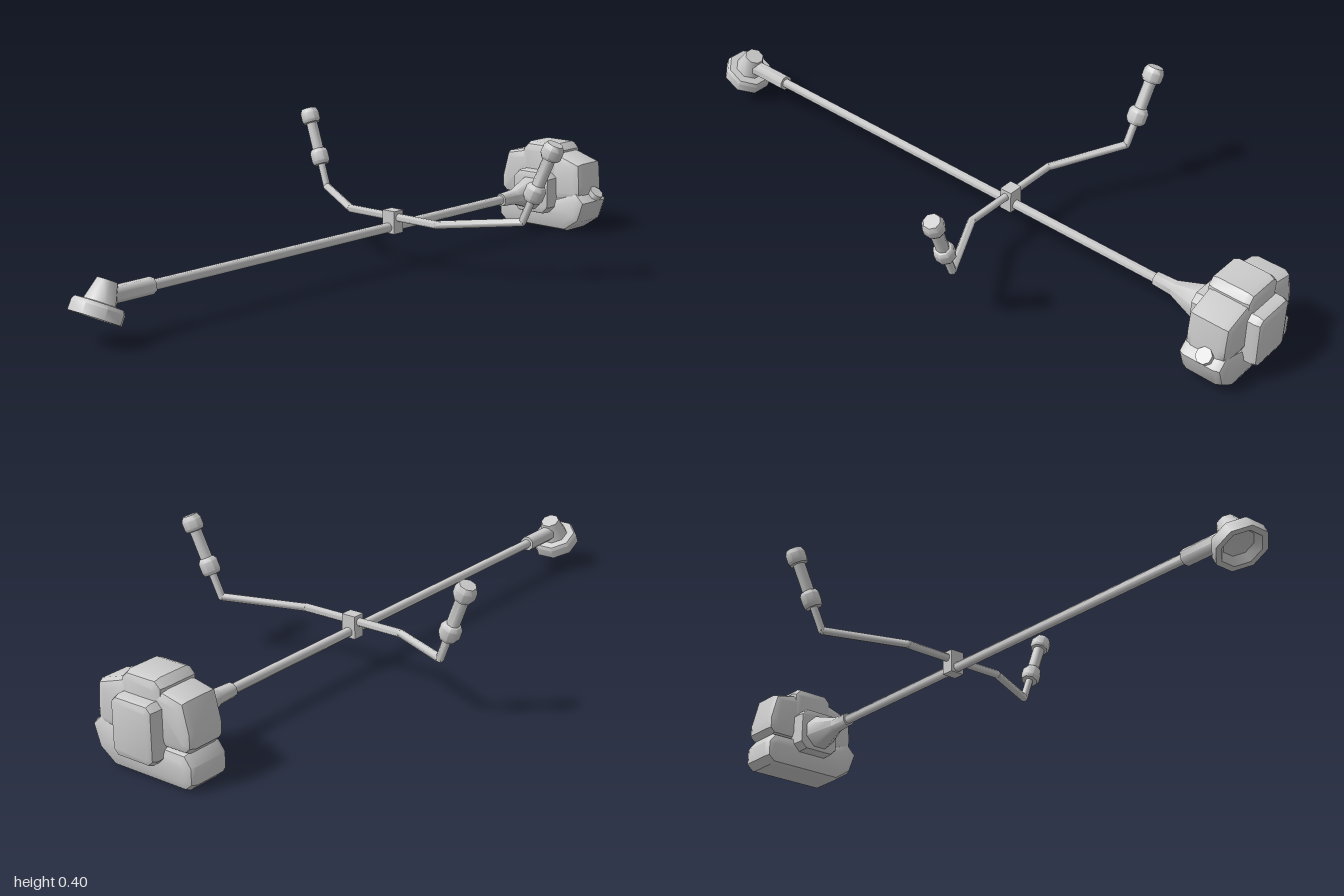
import * as THREE from 'three';
import { toCreasedNormals } from 'three/addons/utils/BufferGeometryUtils.js';

const material = new THREE.MeshStandardMaterial({ color: 0xcccccc });
const hollow = new THREE.MeshStandardMaterial({ color: 0xcccccc, side: THREE.DoubleSide });
const V = (x, y, z) => new THREE.Vector3(x, y, z);
const UP = V(0, 1, 0);

function add(parent, name, geometry, mat = material, crease = 0.6) {
  const mesh = new THREE.Mesh(toCreasedNormals(geometry, crease), mat);
  mesh.name = name;
  parent.add(mesh);
  return mesh;
}

// Cylinder or cone running from a (radius ra) to b (radius rb)
function rod(parent, name, a, b, ra, rb = ra, sides = 8) {
  const g = new THREE.CylinderGeometry(rb, ra, a.distanceTo(b), sides);
  g.rotateY(Math.PI / sides);
  const mesh = add(parent, name, g, material, 0.9);
  mesh.position.copy(a).lerp(b, 0.5);
  mesh.quaternion.setFromUnitVectors(UP, b.clone().sub(a).normalize());
  return mesh;
}

// Lathe whose profile [radius, distance] runs along the line from a towards b
function turned(parent, name, a, b, profile, sides = 8) {
  const g = new THREE.LatheGeometry(profile.map(([r, t]) => new THREE.Vector2(r, t)), sides);
  g.rotateY(Math.PI / sides);
  const mesh = add(parent, name, g, hollow, 0.8);
  mesh.position.copy(a);
  mesh.quaternion.setFromUnitVectors(UP, b.clone().sub(a).normalize());
  return mesh;
}

// Bevelled slab: front outline [x, y], spanning z0 (back) to z1 (front)
function slab(parent, name, outline, z0, z1, bevel) {
  const shape = new THREE.Shape(outline.map(([x, y]) => new THREE.Vector2(x, y)));
  const g = new THREE.ExtrudeGeometry(shape, {
    depth: z1 - z0 - 2 * bevel, bevelEnabled: true, bevelSegments: 2,
    bevelThickness: bevel, bevelSize: bevel, bevelOffset: -bevel,
  });
  g.translate(0, 0, z0 + bevel);
  return add(parent, name, g, material, 0.7);
}

// Rectangle outline with cut corners
function cutRect(w, y0, y1, c) {
  return [[-w + c, y0], [w - c, y0], [w, y0 + c], [w, y1 - c],
    [w - c, y1], [-w + c, y1], [-w, y1 - c], [-w, y0 + c]];
}

export function createModel() {
  const model = new THREE.Group();
  const Y = 0.116;

  // Drive shaft with front sleeve and flared rear coupling
  rod(model, 'shaft', V(0, Y, -0.7), V(0, Y, 0.8), 0.014);
  rod(model, 'frontSleeve', V(0, Y, 0.76), V(0, Y, 0.91), 0.023);
  turned(model, 'rearCoupling', V(0, Y, -0.64), V(0, Y, -1),
    [[0, 0], [0.02, 0], [0.023, 0.06], [0.052, 0.145], [0.052, 0.17]]);

  // Tilted cutting head: cone above a hollow guard cup
  const base = V(0, 0.069, 0.94);
  const tip = V(0, 0.156, 0.897);
  turned(model, 'cuttingHead', base, tip, [
    [0, 0.03], [0.042, 0.022], [0.056, 0], [0.072, 0], [0.072, 0.028], [0.066, 0.038],
    [0.044, 0.04], [0.028, 0.097], [0, 0.097],
  ]);

  // Handlebar: clamp, bent bar and two grips
  const handlebar = new THREE.Group();
  handlebar.name = 'handlebar';
  model.add(handlebar);
  const clamp = add(handlebar, 'clamp', new THREE.BoxGeometry(0.044, 0.066, 0.038));
  clamp.position.set(0, 0.132, -0.14);
  rod(handlebar, 'barMiddle', V(-0.163, 0.145, -0.14), V(0.163, 0.145, -0.14), 0.0115);
  for (const s of [1, -1]) {
    const bend = V(s * 0.163, 0.145, -0.14);
    const corner = V(s * 0.372, 0.165, -0.257);
    const end = V(s * 0.466, 0.392, -0.275);
    const at = (t) => corner.clone().lerp(end, t);
    rod(handlebar, 'barArm', bend, corner, 0.0115);
    rod(handlebar, 'barUpright', corner, at(0.4), 0.0115);
    for (const p of [bend, corner]) {
      add(handlebar, 'barJoint', new THREE.SphereGeometry(0.0115, 8, 6), material, 1).position.copy(p);
    }
    turned(handlebar, 'grip', corner, end, [
      [0, 0.07], [0.024, 0.07], [0.029, 0.08], [0.029, 0.107], [0.023, 0.117],
      [0.018, 0.119], [0.018, 0.2], [0.026, 0.202], [0.03, 0.21], [0.03, 0.232],
      [0.023, 0.246], [0, 0.246],
    ]);
  }

  // Engine
  const engine = new THREE.Group();
  engine.name = 'engine';
  model.add(engine);
  slab(engine, 'mountPlate', cutRect(0.066, 0.055, 0.185, 0.02), -0.87, -0.79, 0.008);
  slab(engine, 'topCover', cutRect(0.068, 0.08, 0.268, 0.02), -0.963, -0.83, 0.022);
  slab(engine, 'rearCover', cutRect(0.068, 0.055, 0.215, 0.016), -1.0, -0.85, 0.018);
  slab(engine, 'rightCover', [[-0.02, 0.095], [-0.135, 0.095], [-0.152, 0.112],
    [-0.152, 0.15], [-0.132, 0.228], [-0.068, 0.242], [-0.02, 0.242]], -0.96, -0.835, 0.022);
  slab(engine, 'leftCover', [[0.02, 0.242], [0.068, 0.242], [0.148, 0.216],
    [0.154, 0.15], [0.154, 0.115], [0.135, 0.095], [0.02, 0.095]], -0.96, -0.835, 0.022);
  slab(engine, 'fuelTank', [[-0.133, 0], [0.102, 0], [0.154, 0.036], [0.175, 0.098],
    [0.142, 0.13], [0.06, 0.1], [-0.133, 0.098], [-0.156, 0.068], [-0.156, 0.02]],
  -0.963, -0.83, 0.022);
  rod(engine, 'fuelCap', V(0.145, 0.096, -0.908), V(0.17, 0.125, -0.908), 0.023);

  return model;
}
